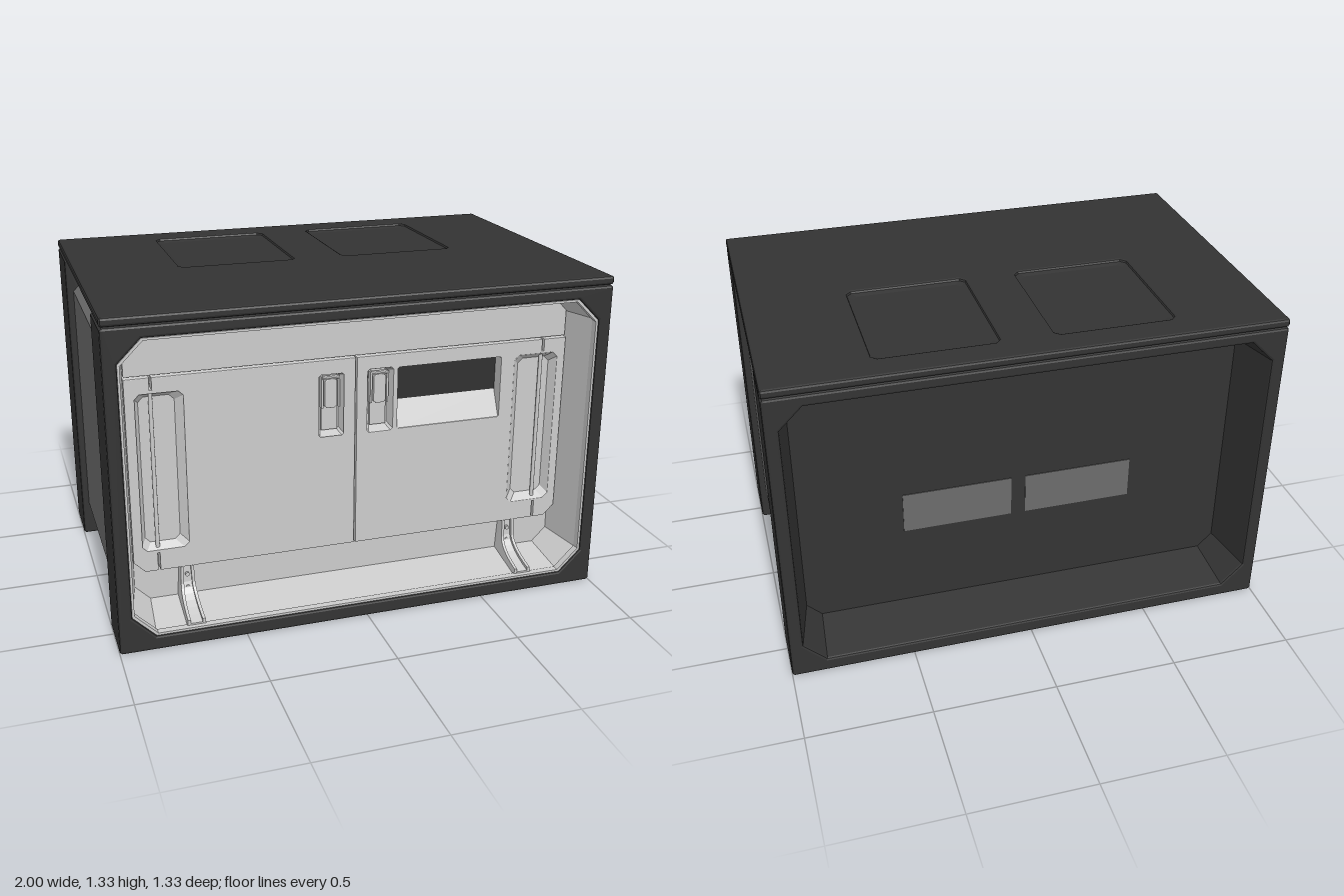
import * as THREE from 'three';

const mat = (color, flat = true) => new THREE.MeshStandardMaterial({ color, flatShading: flat, side: THREE.DoubleSide });
const dark = mat(0x333333), grey = mat(0x6c6c6c), light = mat(0xcccccc), black = mat(0x303030);

// rectangle with chamfered corners, as a list of 8 points (bottom and top chamfers)
function oct(x0, x1, y0, y1, c = 0.01, ct = c) {
  return [[x0 + c, y0], [x1 - c, y0], [x1, y0 + c], [x1, y1 - ct],
    [x1 - ct, y1], [x0 + ct, y1], [x0, y1 - ct], [x0, y0 + c]];
}
const toShape = (pts, holes = []) => {
  const s = new THREE.Shape(pts.map(p => new THREE.Vector2(...p)));
  holes.forEach(h => s.holes.push(new THREE.Path(h.map(p => new THREE.Vector2(...p)))));
  return s;
};
function add(parent, name, geo, material, x = 0, y = 0, z = 0) {
  const m = new THREE.Mesh(geo, material);
  m.name = name;
  m.position.set(x, y, z);
  parent.add(m);
  return m;
}
// extruded plate between z0 and z1 with small bevels inside the given outline
function plate(pts, holes, z0, z1, b) {
  const g = new THREE.ExtrudeGeometry(toShape(pts, holes), {
    depth: z1 - z0 - 2 * b, bevelEnabled: b > 0, bevelThickness: b, bevelSize: b, bevelOffset: -b, bevelSegments: 2,
  });
  return g.translate(0, 0, z0 + b);
}
// walls joining two outlines at different depths, with an optional floor on the second
function loft(a, za, b, zb, floor = false) {
  const v = [];
  a.forEach((p, i) => {
    const j = (i + 1) % a.length;
    const A = [...p, za], B = [...a[j], za], C = [...b[j], zb], D = [...b[i], zb];
    v.push(...A, ...C, ...B, ...A, ...D, ...C);
    if (floor && i > 0 && j > 0) v.push(...b[0], zb, ...D, ...C);
  });
  const g = new THREE.BufferGeometry();
  g.setAttribute('position', new THREE.Float32BufferAttribute(v, 3));
  g.computeVertexNormals();
  return g;
}
const box = (w, h, d) => new THREE.BoxGeometry(w, h, d);

const opening = oct(-0.945, 0.945, 0.06, 1.245, 0.09);
const innerOpening = oct(-0.9, 0.9, 0.1, 1.205, 0.06);

function buildShell(g) {
  // chamfered body between the two end frames
  add(g, 'body', plate(oct(-0.97, 0.97, 0.005, 1.295, 0.145), [], -0.43, 0.43, 0), grey);

  // end frames and their tapered linings
  const frame = plate(oct(-1, 1, 0, 1.293, 0.008), [opening], 0.43, 0.665, 0.01);
  const lining = loft(opening, 0.656, innerOpening, 0.44);
  for (const [name, turn, m] of [['front', 0, light], ['back', Math.PI, dark]]) {
    add(g, name + 'Frame', frame, dark).rotation.y = turn;
    add(g, name + 'Lining', lining, m).rotation.y = turn;
  }
  // thin light rim around the front opening
  add(g, 'frontRim', plate(opening, [oct(-0.936, 0.936, 0.069, 1.236, 0.087)], 0.63, 0.66, 0), light);

  // back panel with two small plates
  add(g, 'backPanel', new THREE.ShapeGeometry(toShape(innerOpening)), dark, 0, 0, -0.44).rotation.y = Math.PI;
  for (const s of [-1, 1]) add(g, 'backPlate', box(0.45, 0.177, 0.006), grey, s * 0.255, 0.547, -0.44);

  // lid with two shallow trays
  const lid = new THREE.Group();
  lid.name = 'lid';
  const trays = [-0.345, 0.345].map(x => oct(x - 0.24, x + 0.24, -0.01, 0.54, 0.02));
  add(lid, 'lidSlab', plate(oct(-1, 1, -0.665, 0.665, 0.006), trays, 1.295, 1.33, 0.01), dark);
  trays.forEach((t, i) => {
    const x = i ? 0.345 : -0.345;
    add(lid, 'lidTray', loft(t, 1.32, oct(x - 0.22, x + 0.22, 0.01, 0.52, 0.02), 1.314, true), dark);
  });
  lid.rotation.x = -Math.PI / 2;
  g.add(lid);
}

const windowHole = oct(0.175, 0.62, 0.725, 0.982, 0.005);

function buildDoor(s) {
  const door = new THREE.Group();
  door.name = s > 0 ? 'leftDoor' : 'rightDoor';
  const flip = pts => pts.map(([x, y]) => [s * x, y]);
  const grip = flip(oct(0.68, 0.87, 0.33, 0.98, 0.02));
  const latch = flip(oct(0.048, 0.155, 0.722, 0.985, 0.008));

  // door leaf with hinge seams cut above and below the side recess
  const outline = flip([[0.003, 0.245], [0.801, 0.245], [0.801, 0.32], [0.809, 0.32], [0.809, 0.245], [0.86, 0.245],
    [0.905, 0.29], [0.905, 1.04], [0.809, 1.04], [0.809, 0.99], [0.801, 0.99], [0.801, 1.04], [0.003, 1.04]]);
  const holes = [grip, latch];
  if (s > 0) holes.push(windowHole);
  add(door, 'doorLeaf', plate(outline, holes, 0.442, 0.49, 0.003), light);

  // side recess and hinge rod
  add(door, 'sideRecess', loft(grip, 0.488, flip(oct(0.712, 0.85, 0.355, 0.955, 0.02)), 0.455, true), light);
  add(door, 'hingeRod', new THREE.CylinderGeometry(0.008, 0.008, 0.635, 12), mat(0xcccccc, false), s * 0.805, 0.657, 0.472);

  // latch in its pocket
  add(door, 'latchPocket', loft(latch, 0.488, flip(oct(0.06, 0.143, 0.738, 0.972, 0.008)), 0.446, true), light);
  add(door, 'latchBase', box(0.066, 0.215, 0.014), light, s * 0.101, 0.85, 0.453);
  add(door, 'latchLever', plate(oct(-0.026, 0.026, -0.06, 0.06, 0.01), [], 0, 0.022, 0.004), light, s * 0.101, 0.9, 0.461);
  for (const e of [-1, 1]) add(door, 'latchCheek', box(0.008, 0.13, 0.026), light, s * 0.101 + e * 0.034, 0.905, 0.465);
  add(door, 'latchPin', new THREE.CylinderGeometry(0.009, 0.009, 0.066, 10).rotateZ(Math.PI / 2), light, s * 0.101, 0.965, 0.474);
  return door;
}

// flared bracket under the doors: two cheeks with a recessed channel
function buildBracket(s) {
  const b = new THREE.Group();
  b.name = 'footBracket';
  const side = (inset) => {
    const sh = new THREE.Shape();
    sh.moveTo(0.44, 0.243);
    sh.lineTo(0.485 - inset, 0.243);
    sh.lineTo(0.49 - inset, 0.17);
    sh.quadraticCurveTo(0.505 - inset, 0.115 - inset, 0.64, 0.09 - inset);
    sh.lineTo(0.64, 0.06);
    sh.lineTo(0.44, 0.09);
    return sh;
  };
  const slab = (w, inset) => new THREE.ExtrudeGeometry(side(inset), { depth: w, bevelEnabled: false, curveSegments: 6 })
    .rotateY(-Math.PI / 2).scale(1, 1, 1).translate(w / 2, 0, 0);
  for (const e of [-1, 1]) {
    const cheek = add(b, 'bracketCheek', slab(0.012, 0), light, e * 0.02);
    // widen the cheeks towards the floor
    const p = cheek.geometry.attributes.position;
    for (let i = 0; i < p.count; i++) p.setX(i, p.getX(i) + e * 0.08 * Math.max(0, 0.2 - p.getY(i)));
    cheek.geometry.computeVertexNormals();
  }
  add(b, 'bracketChannel', slab(0.046, 0.014), light);
  for (const y of [0.15, 0.205]) {
    add(b, 'bracketBolt', new THREE.CylinderGeometry(0.009, 0.009, 0.014, 8).rotateX(Math.PI / 2), light, 0, y, 0.477);
  }
  b.position.x = s * 0.695;
  return b;
}

function buildFront(g) {
  // wall behind the doors and fascia above them
  add(g, 'frontPanel', new THREE.ShapeGeometry(toShape(innerOpening, [windowHole])), light, 0, 0, 0.44);
  add(g, 'upperFascia', plate(oct(-0.903, 0.903, 1.046, 1.207, 0.004, 0.055), [], 0.44, 0.482, 0.002), light);

  for (const s of [-1, 1]) g.add(buildDoor(s), buildBracket(s));

  // window with dark back and a sloping sill
  add(g, 'windowWalls', loft(windowHole, 0.487, windowHole, 0.434), light);
  add(g, 'windowBack', box(0.445, 0.257, 0.004), black, 0.3975, 0.8535, 0.434);
  const sill = toShape([[0.434, 0.725], [0.486, 0.725], [0.436, 0.83], [0.434, 0.83]]);
  add(g, 'windowSill', new THREE.ExtrudeGeometry(sill, { depth: 0.443, bevelEnabled: false }).rotateY(-Math.PI / 2), light, 0.619);
}

export function createModel() {
  const g = new THREE.Group();
  g.name = 'cabinetCase';
  buildShell(g);
  buildFront(g);
  return g;
}
